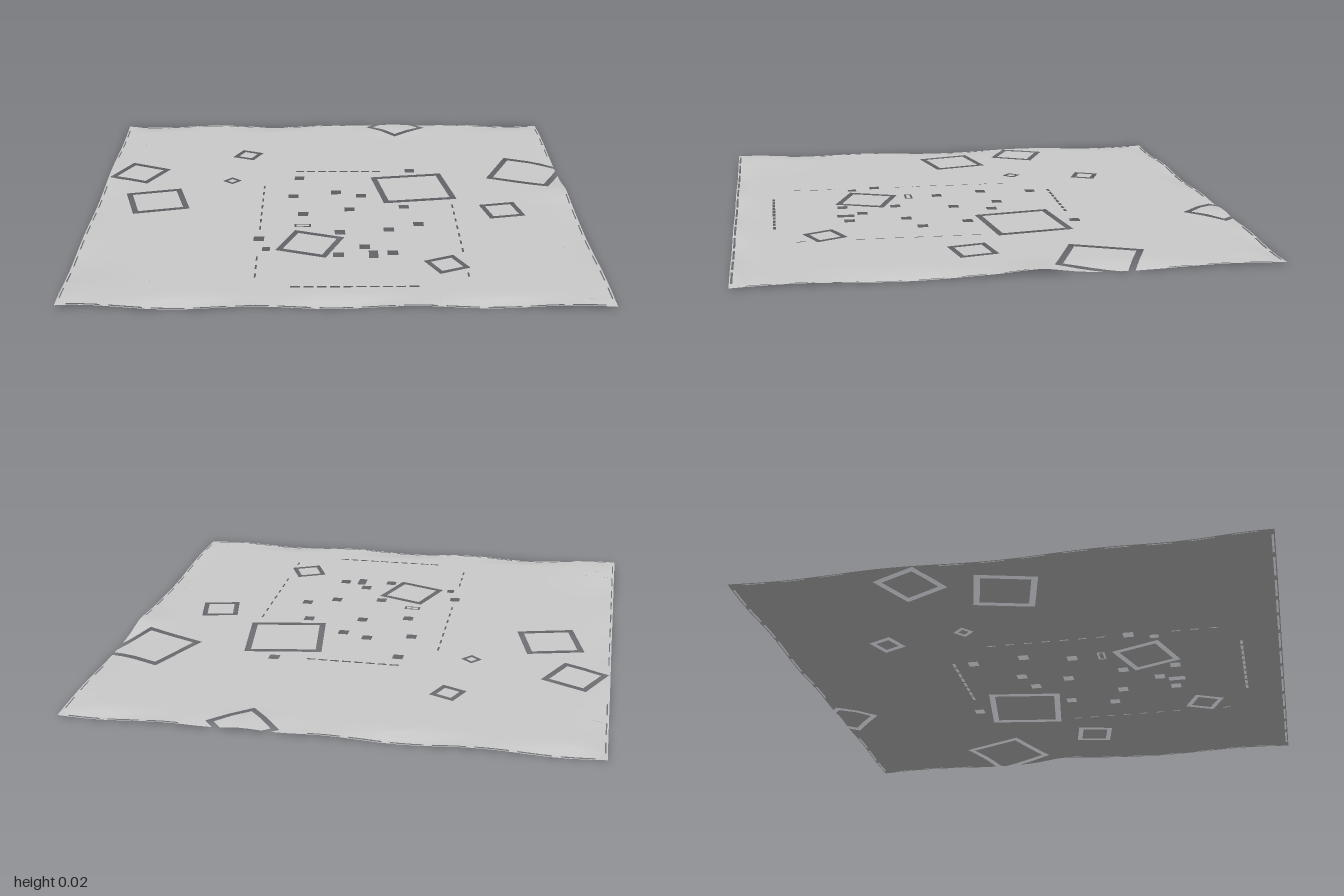
import * as THREE from 'three';
import { mergeVertices } from 'three/addons/utils/BufferGeometryUtils.js';

// Square trenches cut into the sheet: x, z, width, depth, turn in degrees, trench width
const TRENCHES = [
  [0.342, -0.147, 0.315, 0.31, -8.7, 0.025], [-0.099, 0.449, 0.21, 0.21, 20.7, 0.023],
  [0.858, -0.337, 0.28, 0.285, 23, 0.025], [0.307, -0.968, 0.2, 0.2, -41, 0.023],
  [-0.864, -0.34, 0.196, 0.196, 26, 0.024], [-0.749, -0.005, 0.236, 0.236, -14, 0.024],
  [-0.393, -0.57, 0.104, 0.104, 24, 0.02], [-0.447, -0.24, 0.058, 0.058, 42, 0.014],
  [0.698, 0.11, 0.153, 0.153, -12, 0.021], [0.422, 0.647, 0.13, 0.13, -25, 0.02],
  [-0.13, 0.267, 0.066, 0.032, 0, 0.008],
];

// Small square openings: x, z
const OPENINGS = [
  [-0.152, -0.27], [0.34, -0.358], [-0.174, -0.053], [0.008, -0.096], [0.115, -0.056],
  [0.062, 0.096], [-0.13, 0.144], [0.291, 0.07], [0.217, 0.31], [0.34, 0.257],
  [0.02, 0.337], [-0.302, 0.4], [0.115, 0.481], [0.012, 0.557], [0.222, 0.54],
];

// Corners of a turned rectangle, in plan (plan y = -z)
function rect(x, z, w, d, deg = 0) {
  const a = THREE.MathUtils.degToRad(deg), c = Math.cos(a), s = Math.sin(a);
  return [[-1, -1], [1, -1], [1, 1], [-1, 1]].map(([i, j]) => {
    const u = i * w / 2, v = j * d / 2;
    return new THREE.Vector2(x + u * c - v * s, -(z + u * s + v * c));
  });
}

// Gentle relief: nearly flat, low hills at the rim, a ragged dip along the edges
function height(x, z) {
  const hill = (cx, cz, r, h) => h * Math.exp(-((x - cx) ** 2 + (z - cz) ** 2) / (r * r));
  const edge = THREE.MathUtils.smoothstep(Math.max(Math.abs(x), Math.abs(z)), 0.9, 1);
  const y = 0.011 + hill(0.3, -1, 0.1, 0.014) + hill(1, -0.09, 0.1, 0.013)
    + hill(-1, 0.9, 0.2, 0.016) - edge * 0.0055 * (1 + Math.sin(11 * x + 8 * z));
  return Math.max(0, y);
}

// Keep the part of a polygon inside the 2 x 2 plan
function clip(poly) {
  for (const axis of ['x', 'y']) for (const sign of [1, -1]) {
    const out = [];
    poly.forEach((p, i) => {
      const q = poly[(i + 1) % poly.length];
      const a = 1 - sign * p[axis], b = 1 - sign * q[axis];
      if (a >= 0) out.push(p);
      if (a * b < 0) out.push(p.clone().lerp(q, a / (a - b)));
    });
    poly = out;
  }
  return poly;
}

// Triangulate a plan shape, trim it, refine it and lift it onto the relief
function drape(shape) {
  const src = new THREE.ShapeGeometry(shape), pos = src.attributes.position, idx = src.index;
  const stack = [], out = [];
  for (let i = 0; i < idx.count; i += 3) {
    const tri = [0, 1, 2].map(k => new THREE.Vector2(pos.getX(idx.getX(i + k)), pos.getY(idx.getX(i + k))));
    const poly = clip(tri);
    for (let k = 2; k < poly.length; k++) stack.push([poly[0], poly[k - 1], poly[k]]);
  }
  while (stack.length) {
    const t = stack.pop();
    const len = t.map((p, k) => p.distanceTo(t[(k + 1) % 3]));
    const k = len.indexOf(Math.max(...len));
    const a = t[k], b = t[(k + 1) % 3], c = t[(k + 2) % 3];
    if (len[k] > 0.08) {
      const m = a.clone().lerp(b, 0.5);
      stack.push([a, m, c], [m, b, c]);
    } else for (const p of t) out.push(p.x, height(p.x, -p.y), -p.y);
  }
  let g = new THREE.BufferGeometry();
  g.setAttribute('position', new THREE.Float32BufferAttribute(out, 3));
  g = mergeVertices(g, 1e-5);
  g.computeVertexNormals();
  return g;
}

export function createModel() {
  const group = new THREE.Group();
  group.name = 'terrain';
  const material = new THREE.MeshStandardMaterial({ color: 0xcccccc, side: THREE.DoubleSide });
  const add = (name, shape) => {
    const mesh = new THREE.Mesh(drape(shape), material);
    mesh.name = name;
    group.add(mesh);
  };

  // Oversized sheet, trimmed to the plan after the cuts are made
  const sheet = new THREE.Shape(rect(0, 0, 2.6, 2.6));
  const taken = [];
  const cut = (x, z, w, d, deg) => {
    sheet.holes.push(new THREE.Path(rect(x, z, w, d, deg)));
    taken.push([x, z, Math.hypot(w, d) / 2]);
  };
  // Dash that is left out where another cut is in the way
  const dash = (x, z, w, d) => {
    const r = Math.max(w, d) / 2;
    if (taken.every(([tx, tz, tr]) => Math.hypot(tx - x, tz - z) > tr + r)) {
      sheet.holes.push(new THREE.Path(rect(x, z, w, d)));
    }
  };

  // Trenches, each leaving a separate plot in the middle
  for (const [x, z, w, d, deg, t] of TRENCHES) {
    cut(x, z, w, d, deg);
    add('plot', new THREE.Shape(rect(x, z, w - 2 * t, d - 2 * t, deg)));
  }

  // Small openings
  for (const [x, z] of OPENINGS) cut(x, z, 0.042, 0.042);
  cut(0.147, 0.551, 0.036, 0.07);
  cut(-0.27, 0.5, 0.03, 0.036);

  // Dashed outline around the middle area
  for (let i = 0; i < 10; i++) {
    for (const z of [-0.352, 0.84]) dash(-0.15 + i * 0.0485, z, 0.036, 0.011);
  }
  for (let i = 0; i < 13; i++) {
    for (const x of [-0.302, 0.495]) dash(x, -0.16 + i * 0.075, 0.007, 0.035);
  }

  // Broken slits along the rim
  for (let i = -6; i <= 6; i++) {
    for (const s of [-0.992, 0.992]) {
      dash(i * 0.15, s, 0.12, 0.008);
      dash(s, i * 0.15, 0.005, 0.09);
    }
  }

  add('groundSheet', sheet);
  return group;
}
